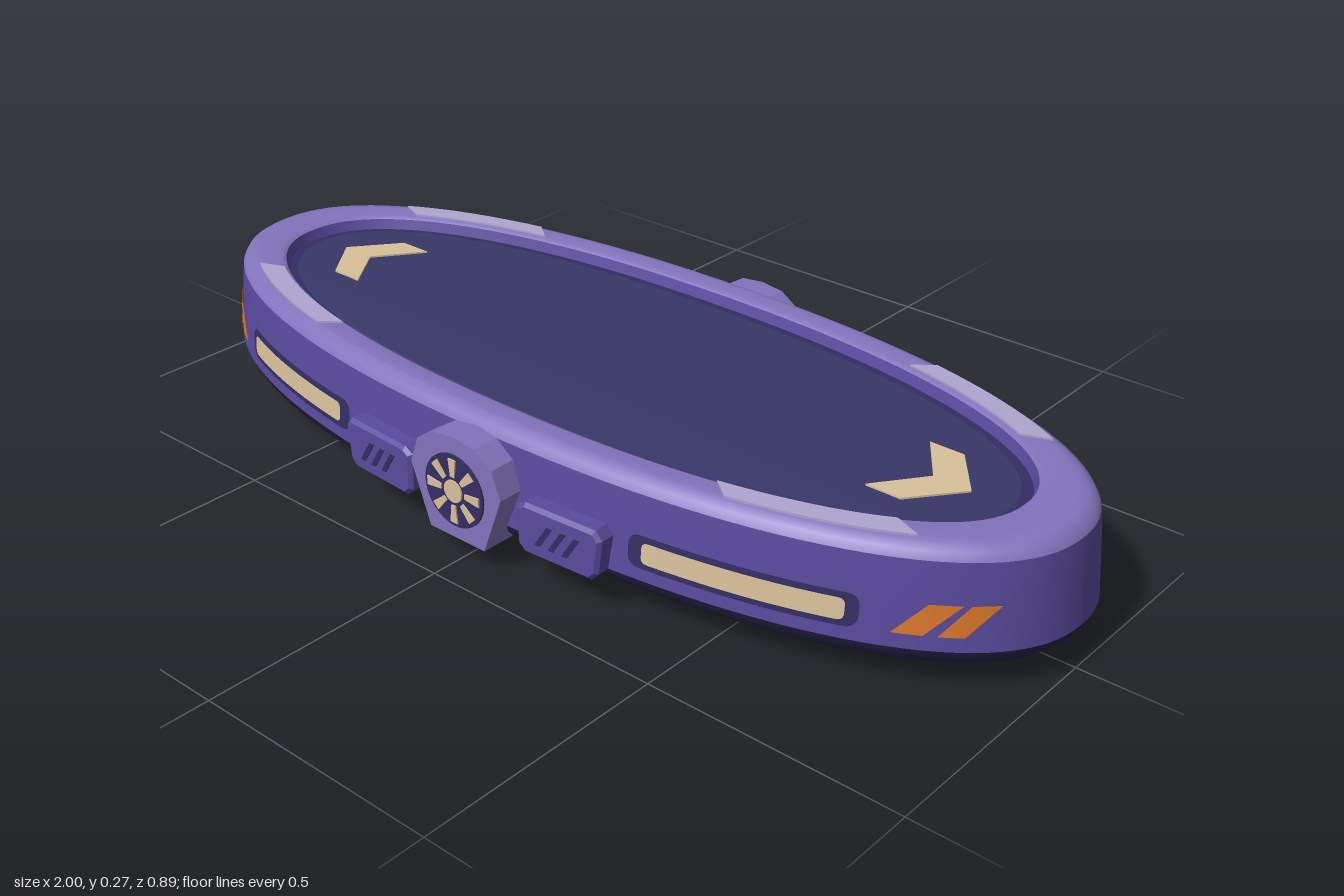
import * as THREE from 'three';

const mat = (name, color, side = THREE.FrontSide) => {
  const m = new THREE.MeshStandardMaterial({ color, side });
  m.name = name;
  return m;
};

const N = 2.2; // roundness of the oval
const oval = (a, b, t) => {
  const c = Math.cos(t), s = Math.sin(t);
  return [a * Math.sign(c) * Math.abs(c) ** (2 / N), b * Math.sign(s) * Math.abs(s) ** (2 / N)];
};

function gridGeometry(pos, rows, cols, flip) {
  const idx = [];
  for (let i = 0; i < rows - 1; i++) for (let j = 0; j < cols - 1; j++) {
    const a = i * cols + j, b = a + cols;
    if (flip) idx.push(a, a + 1, b, b, a + 1, b + 1);
    else idx.push(a, b, a + 1, b, b + 1, a + 1);
  }
  const g = new THREE.BufferGeometry();
  g.setAttribute('position', new THREE.Float32BufferAttribute(pos, 3));
  g.setIndex(idx);
  g.computeVertexNormals();
  return g;
}

// Oval rings [half length, half width, height] joined into a surface
function shell(rings, seg = 128) {
  const pos = [];
  for (const [a, b, y] of rings) for (let j = 0; j <= seg; j++) {
    const [x, z] = oval(a, b, (j / seg) * Math.PI * 2);
    pos.push(x, y, z);
  }
  return gridGeometry(pos, rings.length, seg + 1, false);
}

// Thin patch that follows the curved side wall; ends are rounded by radius r
function wallPatch(sx, sz, x0, x1, y0, y1, off, slant = 0, r = 0) {
  const pos = [], cols = 25, rows = 5;
  for (let i = 0; i < rows; i++) for (let j = 0; j < cols; j++) {
    const u = (1 - Math.cos((j / (cols - 1)) * Math.PI)) / 2, v = i / (rows - 1);
    const d = Math.min(u, 1 - u) * (x1 - x0);
    const cut = d < r ? r - Math.sqrt(r * r - (r - d) ** 2) : 0;
    const y = y0 + cut + (y1 - y0 - 2 * cut) * v;
    const x = x0 + (x1 - x0) * u + slant * v;
    const a = 1 - 0.1 * (y - 0.09) + off, b = 0.397 - 0.08 * (y - 0.09) + off;
    pos.push(sx * x, y, sz * b * (1 - (x / a) ** N) ** (1 / N));
  }
  return gridGeometry(pos, rows, cols, sx * sz > 0);
}

const polygon = (pts) => new THREE.Shape(pts.map((p) => new THREE.Vector2(p[0], p[1])));
const slab = (pts, depth, bevel = 0) => new THREE.ExtrudeGeometry(polygon(pts), {
  depth, bevelEnabled: bevel > 0, bevelSize: bevel, bevelThickness: bevel, bevelOffset: -bevel, bevelSegments: 1,
});

export function createModel() {
  const root = new THREE.Group();
  root.name = 'hoverPlatform';
  const purple = mat('purple', 0x5a4a9e), lavender = mat('lavender', 0x8373bd);
  const navy = mat('deckNavy', 0x383768), dark = mat('undersideDark', 0x27254a);
  const pale = mat('paleLilac', 0xaea5cf), cream = mat('cream', 0xd8c09a, THREE.DoubleSide);
  const orange = mat('orange', 0xd9782a, THREE.DoubleSide);
  const frame = mat('frameNavy', 0x332d62, THREE.DoubleSide);

  const add = (parent, name, geo, material, x = 0, y = 0, z = 0) => {
    const m = new THREE.Mesh(geo, material);
    m.name = name;
    m.position.set(x, y, z);
    parent.add(m);
    return m;
  };

  // Hull, from the underside up over the rim to the sunken deck
  add(root, 'underside', shell([[0, 0, 0.04], [0.955, 0.345, 0.04]]), dark);
  add(root, 'lowerEdge', shell([[0.955, 0.345, 0.04], [0.975, 0.37, 0.049], [0.992, 0.388, 0.066], [1, 0.397, 0.085]]), dark);
  add(root, 'sideWall', shell([[1, 0.397, 0.085], [0.995, 0.393, 0.14], [0.99, 0.389, 0.2], [0.984, 0.384, 0.245]]), purple);
  add(root, 'rim', shell([[0.984, 0.384, 0.245], [0.976, 0.376, 0.259], [0.96, 0.36, 0.269], [0.94, 0.35, 0.27], [0.885, 0.32, 0.27], [0.875, 0.311, 0.264]]), lavender);
  add(root, 'rimInnerWall', shell([[0.875, 0.311, 0.264], [0.868, 0.305, 0.243]]), purple);
  add(root, 'deckGroove', shell([[0.868, 0.305, 0.243], [0.85, 0.287, 0.243]]), frame);
  add(root, 'deck', shell([[0.85, 0.287, 0.243], [0.846, 0.283, 0.247], [0, 0, 0.247]]), navy);

  for (const sx of [1, -1]) {
    // Arrow marks on the deck
    const arrow = [[0.63, 0.097], [0.7, 0.097], [0.775, 0], [0.7, -0.097], [0.63, -0.097], [0.7, 0]];
    const mark = slab(arrow.map(([x, z]) => [sx * x, z]), 0.004).rotateX(-Math.PI / 2);
    add(root, 'deckArrow', mark, cream, 0, 0.2465, 0);

    // Thrusters underneath
    const pod = new THREE.Group();
    pod.name = 'thruster';
    pod.position.x = sx * 0.52;
    root.add(pod);
    add(pod, 'thrusterSkirt', new THREE.CylinderGeometry(0.157, 0.137, 0.032, 48), navy, 0, 0.026, 0);
    add(pod, 'thrusterRing', new THREE.CylinderGeometry(0.112, 0.112, 0.006, 48), dark, 0, 0.01, 0);
    add(pod, 'thrusterLight', new THREE.CylinderGeometry(0.095, 0.095, 0.012, 48), cream, 0, 0.006, 0);

    for (const sz of [1, -1]) {
      // Pale plates on the rim
      const pts = [];
      for (let i = 0; i <= 12; i++) pts.push(oval(0.947, 0.358, 0.58 + 0.47 * i / 12));
      for (let i = 12; i >= 0; i--) pts.push(oval(0.885, 0.321, 0.58 + 0.48 * i / 12));
      const plate = slab(pts.map(([x, z]) => [sx * x, sz * z]), 0.006).rotateX(-Math.PI / 2);
      add(root, 'rimPlate', plate, pale, 0, 0.268, 0);

      // Long side lights and slanted stripes
      add(root, 'lightFrame', wallPatch(sx, sz, 0.35, 0.752, 0.11, 0.172, 0.003, 0, 0.02), frame);
      add(root, 'sideLight', wallPatch(sx, sz, 0.378, 0.732, 0.122, 0.162, 0.006, 0, 0.01), cream);
      add(root, 'sideStripe', wallPatch(sx, sz, 0.8, 0.845, 0.114, 0.171, 0.004, 0.048), orange);
      add(root, 'sideStripe', wallPatch(sx, sz, 0.865, 0.9, 0.114, 0.171, 0.004, 0.038), orange);
    }
  }

  // Hub and flanking tabs, on the front and the back
  for (const side of [1, -1]) {
    const g = new THREE.Group();
    g.name = side > 0 ? 'frontHub' : 'backHub';
    g.rotation.y = side > 0 ? 0 : Math.PI;
    root.add(g);

    const outline = [[-0.068, 0.046], [0.068, 0.046], [0.112, 0.165], [0.092, 0.218], [0.05, 0.245], [0, 0.251],
      [-0.05, 0.245], [-0.092, 0.218], [-0.112, 0.165]];
    add(g, 'hubHousing', slab(outline, 0.1), lavender, 0, 0, 0.34);

    const dial = new THREE.Group();
    dial.name = 'dial';
    dial.position.set(0, 0.145, 0.44);
    g.add(dial);
    add(dial, 'dialFace', new THREE.CylinderGeometry(0.072, 0.072, 0.008, 40).rotateX(Math.PI / 2), frame);
    add(dial, 'dialCentre', new THREE.CylinderGeometry(0.022, 0.022, 0.008, 24).rotateX(Math.PI / 2), cream, 0, 0, 0.003);
    for (let i = 0; i < 8; i++) {
      const spoke = slab([[-0.005, 0.029], [0.005, 0.029], [0.009, 0.064], [-0.009, 0.064]], 0.003);
      add(dial, 'dialSpoke', spoke.rotateZ(i * Math.PI / 4), cream, 0, 0, 0.004);
    }

    for (const sx of [1, -1]) {
      const tab = new THREE.Group();
      tab.name = 'sideTab';
      tab.position.set(sx * 0.222, 0.119, 0.36);
      tab.rotation.y = sx * 0.06;
      g.add(tab);
      const shape = [[-0.092, -0.034], [-0.075, -0.05], [0.07, -0.05], [0.086, -0.034], [0.094, 0.034], [0.08, 0.051],
        [-0.075, 0.051], [-0.094, 0.04]].map(([x, y]) => [sx * x, y]);
      if (sx < 0) shape.reverse();
      add(tab, 'tabBody', slab(shape, 0.053, 0.007), purple);
      for (const k of [-1, 0, 1]) {
        const x = k * 0.03, lean = side * 0.014;
        const slash = [[x - lean - 0.006, -0.022], [x - lean + 0.006, -0.022], [x + lean + 0.006, 0.022], [x + lean - 0.006, 0.022]];
        add(tab, 'tabSlash', slab(slash, 0.003), frame, 0, 0, 0.059);
      }
    }
  }
  return root;
}
